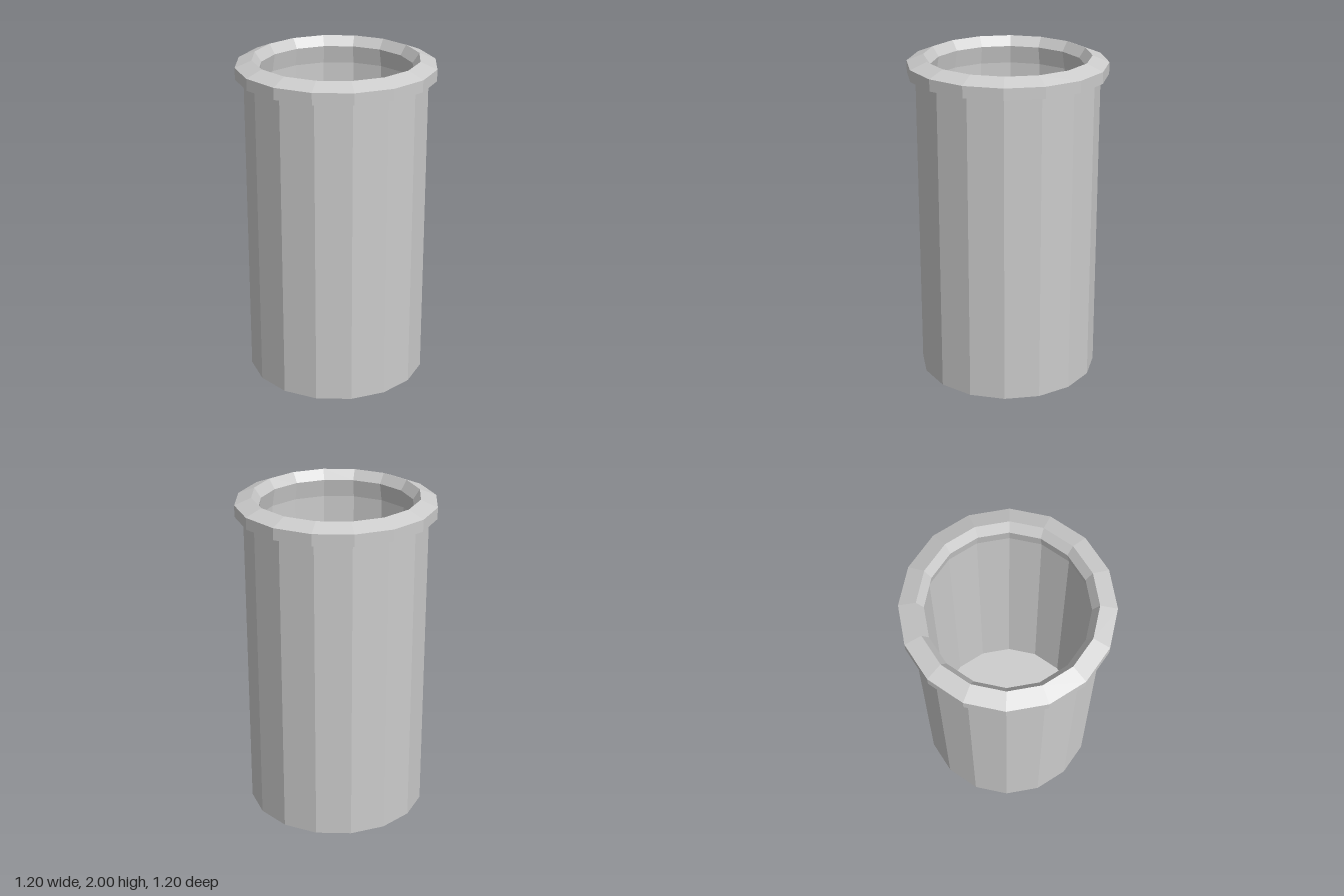
import * as THREE from 'three';

const SIDES = 16;

export function createModel() {
  const model = new THREE.Group();
  model.name = 'cup';
  const material = new THREE.MeshStandardMaterial({ color: 0xcccccc, flatShading: true });

  // Revolve a [radius, height] profile into a faceted part
  const addLathe = (name, profile) => {
    const points = profile.map(([r, y]) => new THREE.Vector2(r, y));
    const mesh = new THREE.Mesh(new THREE.LatheGeometry(points, SIDES), material);
    mesh.name = name;
    model.add(mesh);
  };

  // Closed base and straight outer wall
  addLathe('outerWall', [[0, 0], [0.55, 0], [0.55, 1.89]]);

  // Overhanging lip: flat underside, short band, sloped top, bevelled mouth, inner undercut
  addLathe('rim', [[0.55, 1.89], [0.6, 1.89], [0.6, 1.96], [0.5, 2], [0.46, 1.94], [0.48, 1.83]]);

  // Hollow inside down to the floor
  addLathe('innerWall', [[0.48, 1.83], [0.48, 0.06], [0, 0.06]]);

  return model;
}
